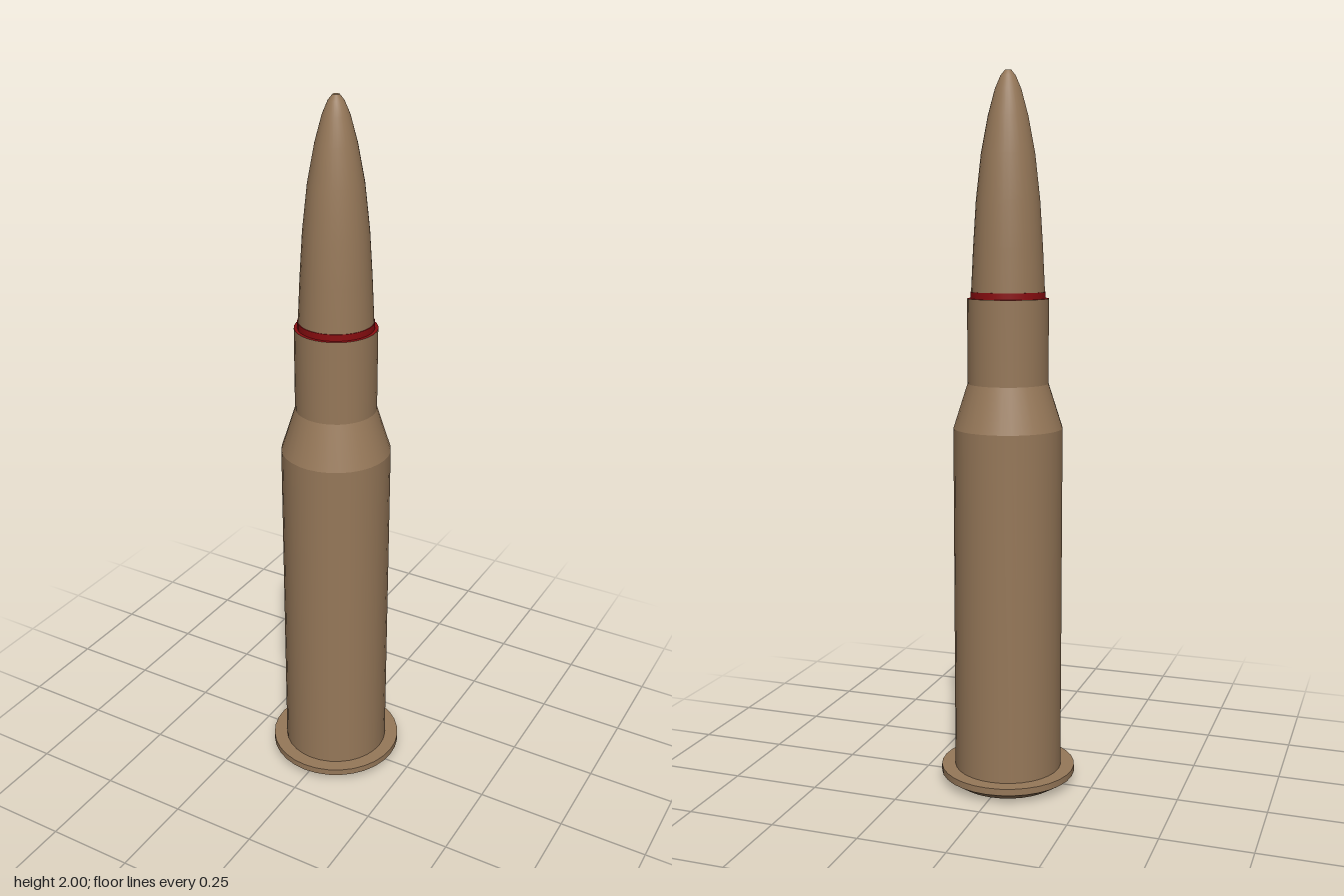
import * as THREE from 'three';

const SIDES = 32;

export function createModel() {
  const model = new THREE.Group();
  model.name = 'cartridge';

  const brown = new THREE.MeshStandardMaterial({ color: 0x967859 });
  brown.name = 'brownMetal';
  const red = new THREE.MeshStandardMaterial({ color: 0x8a0d10 });
  red.name = 'redSealant';

  // Each profile is one smooth band of [radius, height], bottom to top;
  // separate bands keep the edges between them sharp.
  const turn = (group, material, ...profiles) => {
    const part = new THREE.Group();
    part.name = group;
    profiles.forEach((profile, i) => {
      const points = profile.map(([r, y]) => new THREE.Vector2(r, y));
      const mesh = new THREE.Mesh(new THREE.LatheGeometry(points, SIDES), material);
      mesh.name = `${group}Band${i + 1}`;
      part.add(mesh);
    });
    model.add(part);
  };

  // Primer cap set in the base, with its sealing ring
  turn('primer', brown, [[0, 0.003], [0.075, 0.003]]);
  turn('primerRing', red, [[0.075, 0.003], [0.088, 0.003]]);

  // Base and rim
  turn('rim', brown,
    [[0.088, 0.003], [0.088, 0]],
    [[0.088, 0], [0.152, 0]],
    [[0.152, 0], [0.192, 0.026]],
    [[0.192, 0.026], [0.192, 0.045]],
    [[0.192, 0.045], [0.153, 0.045]]);

  // Case body, shoulder and neck
  turn('caseBody', brown, [[0.153, 0.045], [0.153, 1.03]]);
  turn('shoulder', brown, [[0.153, 1.03], [0.113, 1.155]]);
  turn('neck', brown, [[0.113, 1.155], [0.113, 1.39]]);

  // Sealant around the case mouth
  turn('mouthSeal', red,
    [[0.113, 1.39], [0.104, 1.39]],
    [[0.104, 1.39], [0.104, 1.408]],
    [[0.104, 1.408], [0.102, 1.408]]);

  // Bullet with a small flat tip
  turn('bullet', brown,
    [[0.102, 1.408], [0.096, 1.53], [0.088, 1.655], [0.074, 1.78], [0.055, 1.88],
      [0.036, 1.95], [0.021, 1.985], [0.009, 2]],
    [[0.009, 2], [0, 2]]);

  return model;
}
